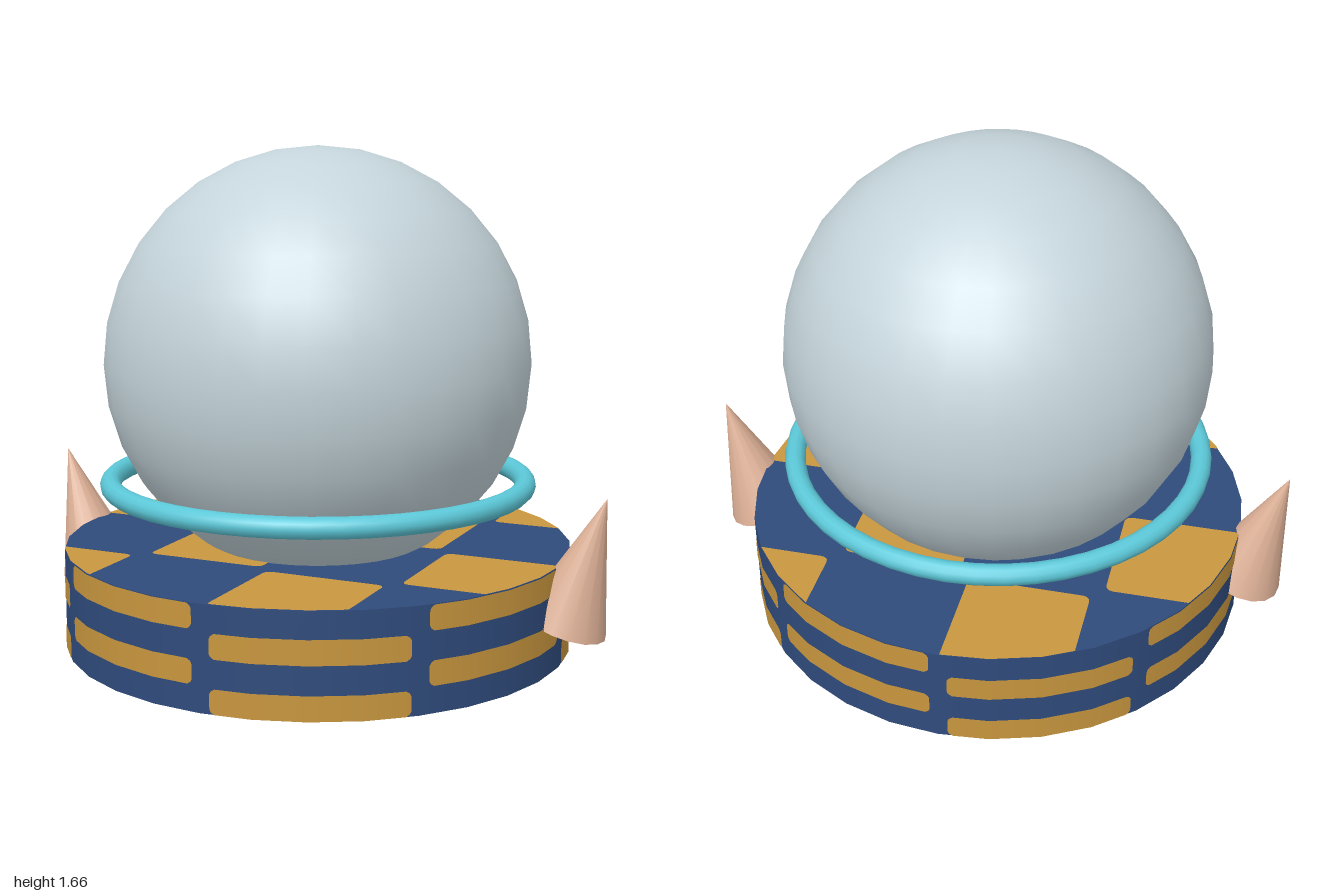
import * as THREE from 'three';

const mat = (name, color, extra) => Object.assign(new THREE.MeshStandardMaterial({ color }), { name });
const R = 0.85, H = 0.34, SIDES = 32, STEP = (Math.PI * 2) / SIDES, LIFT = 0.002;

// Radius of the many-sided drum at angle a (measured from +z towards +x)
function drumRadius(a) {
  const t = ((a % STEP) + STEP) % STEP - STEP / 2;
  return R * Math.cos(STEP / 2) / Math.cos(t);
}

// Thin curved plate on the drum wall with softened ends
function wallBrick(k, y0, y1) {
  const d = Math.PI / 180, a0 = (45 * k + 2.3) * d, a1 = (45 * k + 43.4) * d, c = 0.016;
  const cuts = [[a0, c], [a0 + 0.3 * c / R, c * 0.45], [a0 + c / R, 0]];
  for (let i = 1; i < 4; i++) cuts.push([45 * k * d + i * STEP, 0]);
  cuts.push([a1 - c / R, 0], [a1 - 0.3 * c / R, c * 0.45], [a1, c]);
  const pos = [], nor = [], idx = [];
  cuts.forEach(([a, inset], i) => {
    const r = drumRadius(a) + LIFT, s = Math.sin(a), q = Math.cos(a);
    for (const y of [y0 + inset, y1 - inset]) {
      pos.push(r * s, y, r * q);
      nor.push(s, 0, q);
    }
    if (i) {
      const b = 2 * i;
      idx.push(b - 2, b, b + 1, b - 2, b + 1, b - 1);
    }
  });
  const g = new THREE.BufferGeometry();
  g.setAttribute('position', new THREE.Float32BufferAttribute(pos, 3));
  g.setAttribute('normal', new THREE.Float32BufferAttribute(nor, 3));
  g.setIndex(idx);
  return g;
}

// Rounded rectangle in x and z, cut to the drum outline
function clippedTile(x0, x1, z0, z1) {
  const c = 0.025, pts = [];
  const corners = [[x1 - c, z1 - c, 0], [x0 + c, z1 - c, 1], [x0 + c, z0 + c, 2], [x1 - c, z0 + c, 3]];
  for (const [cx, cz, n] of corners)
    for (let i = 0; i <= 3; i++) {
      const a = (n + i / 3) * Math.PI / 2;
      pts.push([cx + c * Math.cos(a), cz + c * Math.sin(a)]);
    }
  let poly = pts;
  for (let s = 0; s < SIDES; s++) {
    const a = (s + 0.5) * STEP, nx = Math.sin(a), nz = Math.cos(a);
    const dist = p => p[0] * nx + p[1] * nz - R * Math.cos(STEP / 2);
    const out = [];
    poly.forEach((p, i) => {
      const q = poly[(i + 1) % poly.length], dp = dist(p), dq = dist(q);
      if (dp <= 0) out.push(p);
      if (dp * dq < 0) {
        const t = dp / (dp - dq);
        out.push([p[0] + t * (q[0] - p[0]), p[1] + t * (q[1] - p[1])]);
      }
    });
    poly = out;
  }
  return poly;
}

export function createModel() {
  const model = new THREE.Group();
  model.name = 'domeOnPatternedDrum';
  const blue = mat('navy blue', 0x2f4b7c), gold = mat('ochre', 0xc8963e), cyan = mat('turquoise', 0x5cc8d8);
  const glass = mat('pale grey blue', 0xc4d4da), skin = mat('peach', 0xddb096);
  const add = (name, geo, material, parent = model) => {
    const m = new THREE.Mesh(geo, material);
    m.name = name;
    parent.add(m);
    return m;
  };

  // Drum base
  add('drum', new THREE.CylinderGeometry(R, R, H - 2 * LIFT, SIDES), blue).position.y = H / 2;

  // Alternating bricks round the wall, four rows
  const bricks = new THREE.Group();
  bricks.name = 'wallBricks';
  model.add(bricks);
  for (let row = 0; row < 4; row++)
    for (let k = row % 2; k < 8; k += 2)
      add('wallBrick', wallBrick(k, row * 0.085 + 0.002, row * 0.085 + 0.081), gold, bricks);

  // Checker tiles on the top and underside
  const tiles = new THREE.Group();
  tiles.name = 'checkerTiles';
  model.add(tiles);
  const xs = [[-0.862, -0.457], [-0.417, -0.012], [0.027, 0.43], [0.468, 0.87]];
  const zs = [[-0.875, -0.472], [-0.43, -0.028], [0.01, 0.414], [0.452, 0.855]];
  for (let i = 0; i < 4; i++)
    for (let j = 0; j < 4; j++) {
      if ((i + j) % 2 === 0) continue;
      const poly = clippedTile(...xs[i], ...zs[j]);
      if (poly.length < 3) continue;
      for (const side of [1, -1]) {
        const shape = new THREE.Shape(poly.map(([x, z]) => new THREE.Vector2(x, -side * z)));
        const g = new THREE.ShapeGeometry(shape).rotateX(-side * Math.PI / 2);
        add(side > 0 ? 'topTile' : 'undersideTile', g, gold, tiles).position.y = side > 0 ? H : 0;
      }
    }

  // Globe and the ring round it
  add('globe', new THREE.SphereGeometry(0.71, 32, 16), glass).position.y = 0.95;
  const ring = add('ring', new THREE.TorusGeometry(0.695, 0.035, 12, 48), cyan);
  ring.rotation.x = Math.PI / 2;
  ring.position.y = 0.545;

  // Outward-leaning spikes on both sides
  for (const s of [1, -1]) {
    const spike = add(s > 0 ? 'leftSpike' : 'rightSpike', new THREE.ConeGeometry(0.14, 0.44, 16), skin);
    spike.position.set(s * 0.93, 0.36, 0);
    spike.rotation.z = -s * 0.3;
  }
  return model;
}
